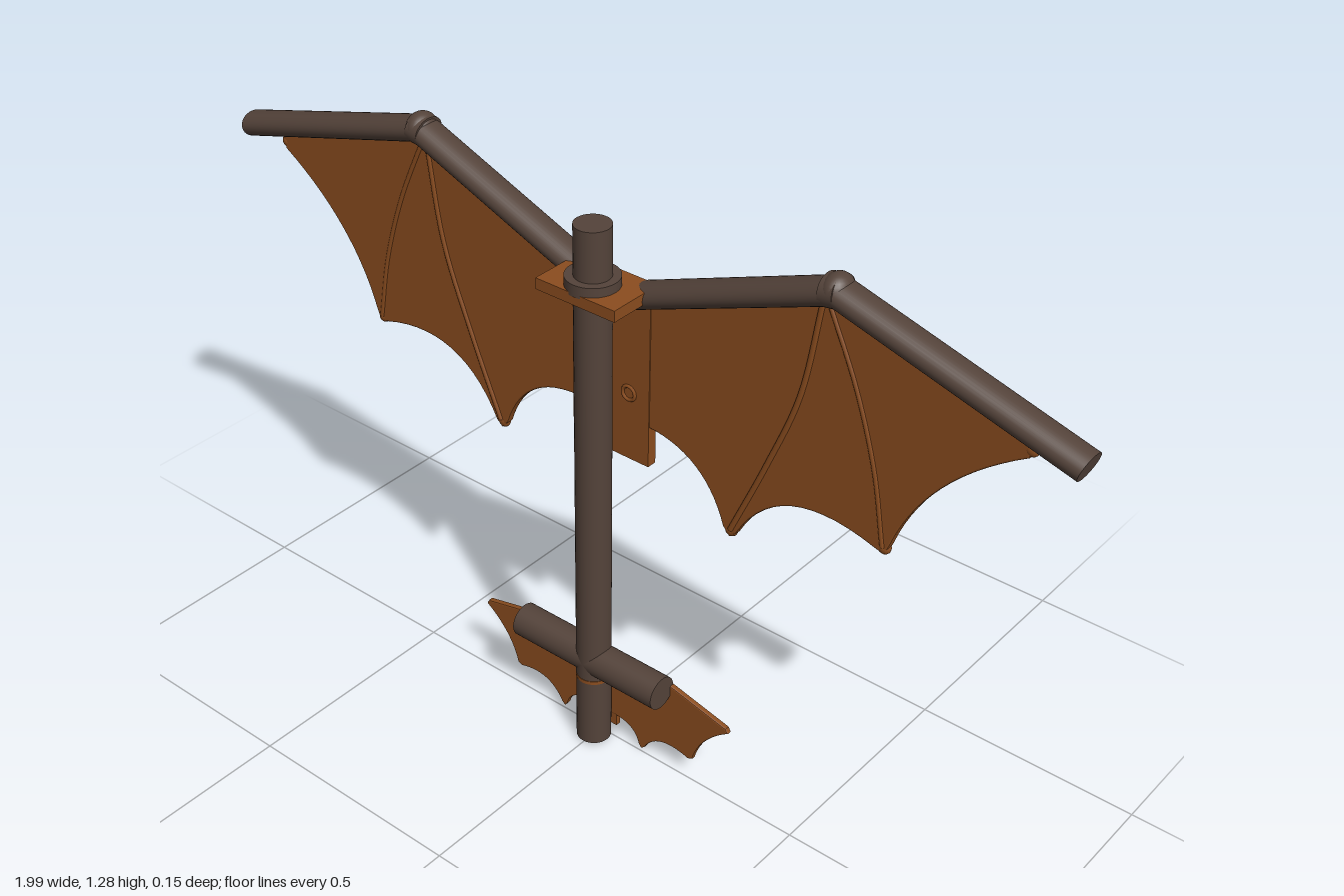
import * as THREE from 'three';

const wood = new THREE.MeshStandardMaterial({ color: 0x54433a });
const leather = new THREE.MeshStandardMaterial({ color: 0x8b4d1f });
const WING_Z = -0.04, POST_Z = 0.023;

function add(parent, name, geometry, material, x = 0, y = 0, z = 0) {
  const mesh = new THREE.Mesh(geometry, material);
  mesh.name = name;
  mesh.position.set(x, y, z);
  parent.add(mesh);
  return mesh;
}

// Oval bar between two points in the wing plane
function bar(parent, name, [x1, y1], [x2, y2], r, depth) {
  const geo = new THREE.CylinderGeometry(1, 1, Math.hypot(x2 - x1, y2 - y1), 32);
  geo.scale(r, 1, depth);
  const mesh = add(parent, name, geo, wood, (x1 + x2) / 2, (y1 + y2) / 2, WING_Z);
  mesh.rotation.z = Math.atan2(y2 - y1, x2 - x1) - Math.PI / 2;
}

// Flat skin: straight points [x, y] or curved ones [cx, cy, x, y]
function skin(points, thickness, bevel) {
  const shape = new THREE.Shape();
  points.forEach((p, i) => {
    if (i === 0) shape.moveTo(...p);
    else if (p.length === 2) shape.lineTo(...p);
    else shape.quadraticCurveTo(...p);
  });
  const geo = new THREE.ExtrudeGeometry(shape, {
    depth: thickness - 2 * bevel, bevelThickness: bevel, bevelSize: bevel,
    bevelOffset: -bevel, bevelSegments: 2, curveSegments: 14,
  });
  return geo.translate(0, 0, -thickness / 2 + bevel);
}

// Raised finger bone along the skin, bowed through a middle point
function rib(parent, points, z, r) {
  const curve = new THREE.CatmullRomCurve3(points.map(([x, y]) => new THREE.Vector3(x, y, z)));
  add(parent, 'wingRib', new THREE.TubeGeometry(curve, 20, r, 8), leather);
}

// Round fastener facing backward with a recessed face and a centre slot
function fastener(parent, name, y, z, r, h) {
  const group = new THREE.Group();
  group.name = name;
  group.position.set(0, y, z);
  const profile = [[0, h * 0.3], [r * 0.62, h * 0.3], [r * 0.62, h], [r * 0.95, h], [r, h * 0.85], [r, 0]];
  const rim = new THREE.LatheGeometry(profile.reverse().map(([a, b]) => new THREE.Vector2(a, b)), 32);
  add(group, 'fastenerRim', rim.rotateX(-Math.PI / 2).toNonIndexed(), leather).geometry.computeVertexNormals();
  const ring = add(group, 'fastenerRing', new THREE.TorusGeometry(r * 0.38, r * 0.1, 8, 24), leather, 0, 0, -h * 0.4);
  ring.scale.z = 0.8;
  const slot = add(group, 'fastenerSlot', new THREE.BoxGeometry(r * 1.1, r * 0.2, h * 0.5), leather, 0, 0, -h * 0.35);
  slot.rotation.z = 0.6;
  parent.add(group);
}

// One main wing, drawn on the +x side
function wing() {
  const group = new THREE.Group();
  const root = [0.005, 1.06], elbow = [0.49, 1.25], tip = [0.99, 1.11];
  bar(group, 'innerWingBar', root, elbow, 0.026, 0.036);
  bar(group, 'outerWingBar', elbow, tip, 0.026, 0.036);
  // Elbow joint
  const knuckle = new THREE.SphereGeometry(1, 24, 16).scale(0.029, 0.032, 0.036);
  add(group, 'elbowJoint', knuckle, wood, 0.49, 1.252, WING_Z);
  bar(group, 'elbowSleeve', [0.472, 1.247], [0.502, 1.251], 0.031, 0.0365);
  // Membrane with a scalloped lower edge
  add(group, 'wingMembrane', skin([
    [0.05, 1.08], [0.49, 1.25], [0.87, 1.145], [0.897, 1.12], [0.888, 1.085],
    [0.70, 0.97, 0.645, 0.79], [0.635, 0.765], [0.615, 0.77],
    [0.40, 0.84, 0.308, 0.655], [0.293, 0.642], [0.277, 0.66],
    [0.23, 0.80, 0.09, 0.805], [0.05, 0.81],
  ], 0.018, 0.004), leather, 0, 0, WING_Z);
  for (const [x, y] of [[0.63, 0.776], [0.293, 0.655], [0.888, 1.1]])
    add(group, 'wingClaw', new THREE.SphereGeometry(0.014, 14, 10).scale(1, 1, 0.75), leather, x, y, WING_Z);
  for (const z of [WING_Z - 0.007, WING_Z + 0.007]) {
    rib(group, [[0.47, 1.23], [0.435, 1.02], [0.37, 0.84], [0.295, 0.66]], z, 0.0065);
    rib(group, [[0.48, 1.23], [0.55, 1.08], [0.60, 0.93], [0.63, 0.78]], z, 0.0055);
  }
  return group;
}

// One tail wing, drawn on the +x side
function tailWing() {
  const group = new THREE.Group();
  add(group, 'tailMembrane', skin([
    [0, 0.175], [0.04, 0.178], [0.12, 0.18, 0.17, 0.225], [0.325, 0.188], [0.331, 0.178],
    [0.26, 0.13, 0.243, 0.058], [0.232, 0.053],
    [0.15, 0.08, 0.115, 0.015], [0.107, 0.008], [0.1, 0.018],
    [0.09, 0.06, 0.04, 0.062], [0, 0.062],
  ], 0.013, 0.003), leather, 0, 0, -0.011);
  rib(group, [[0.17, 0.215], [0.155, 0.12], [0.108, 0.016]], -0.016, 0.003);
  rib(group, [[0.17, 0.215], [0.215, 0.14], [0.236, 0.062]], -0.016, 0.003);
  return group;
}

export function createModel() {
  const model = new THREE.Group();
  model.name = 'wingedPost';

  // Upright post and lower crossbar
  add(model, 'post', new THREE.CylinderGeometry(0.037, 0.037, 1.222, 32), wood, 0, 0.624, POST_Z);
  const cross = add(model, 'crossbar', new THREE.CylinderGeometry(0.037, 0.037, 0.375, 32), wood, -0.006, 0.222, POST_Z);
  cross.rotation.z = Math.PI / 2;
  add(model, 'lowerBand', new THREE.CylinderGeometry(0.038, 0.038, 0.008, 32), leather, 0, 0.18, POST_Z);

  // Collar and bracket holding the wings
  add(model, 'collar', new THREE.CylinderGeometry(0.054, 0.054, 0.025, 32), wood, 0, 1.118, POST_Z);
  add(model, 'bracketShelf', new THREE.BoxGeometry(0.19, 0.024, 0.126), leather, 0, 1.099, 0.012);
  add(model, 'bracketPlate', new THREE.BoxGeometry(0.19, 0.39, 0.022), leather, 0, 0.911, WING_Z);
  fastener(model, 'upperFastener', 0.992, -0.05, 0.058, 0.021);
  fastener(model, 'lowerFastener', 0.802, -0.05, 0.058, 0.021);
  for (const x of [-0.045, 0.045])
    add(model, 'plateRivet', new THREE.TorusGeometry(0.015, 0.004, 6, 16), leather, x, 0.866, -0.029);

  // Mirrored wings and tail
  for (const side of [1, -1]) {
    const label = side > 0 ? 'left' : 'right';
    const main = wing();
    const tail = tailWing();
    main.name = label + 'Wing';
    tail.name = label + 'TailWing';
    main.scale.x = tail.scale.x = side;
    model.add(main, tail);
  }
  add(model, 'tailPlate', new THREE.BoxGeometry(0.075, 0.15, 0.012), leather, 0, 0.107, -0.013);
  fastener(model, 'upperTailFastener', 0.137, -0.017, 0.021, 0.011);
  fastener(model, 'lowerTailFastener', 0.066, -0.017, 0.021, 0.011);
  return model;
}
